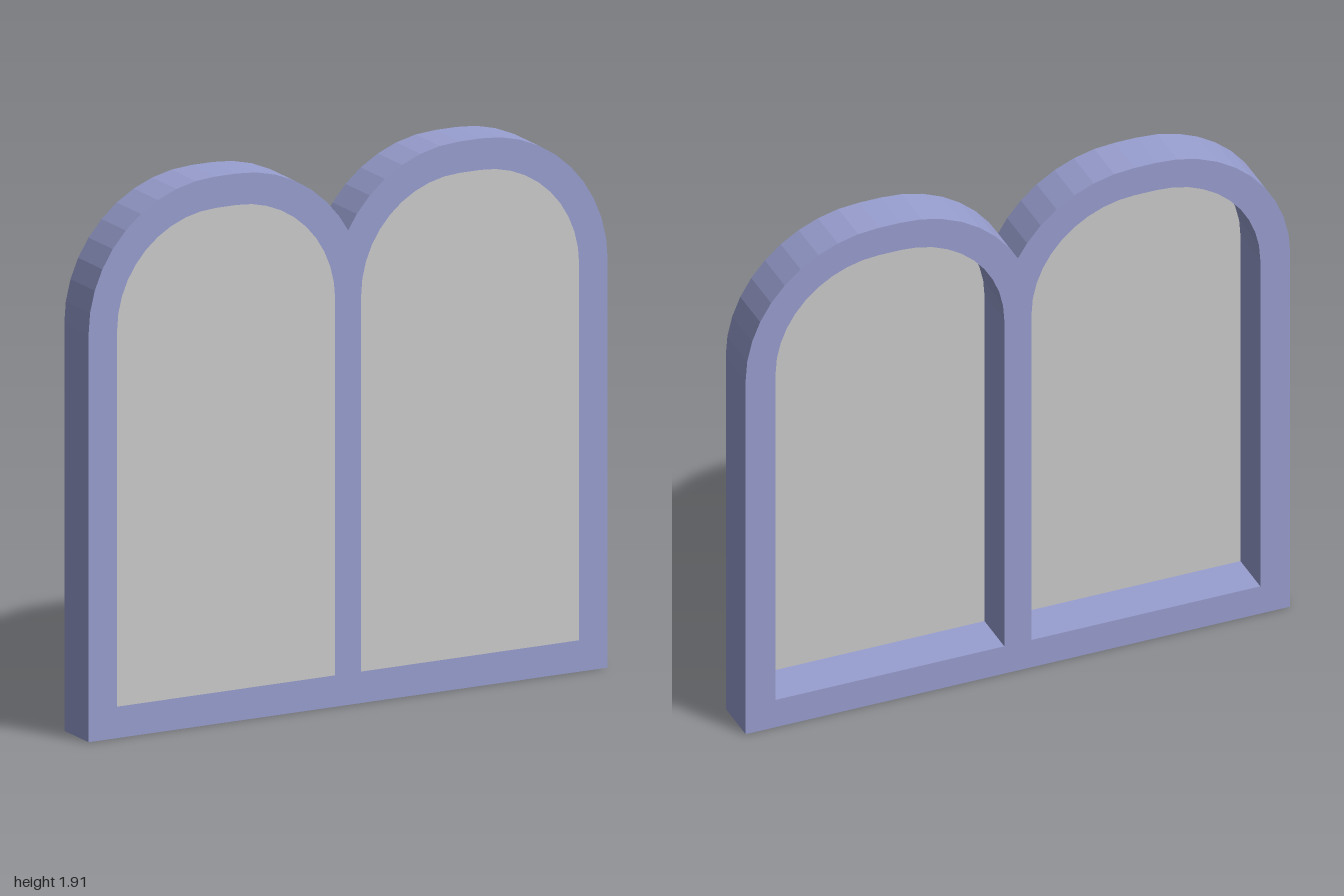
import * as THREE from 'three';

const DEPTH = 0.17;       // frame thickness
const CENTRE = 0.47;      // distance of each arch's middle from x = 0
const FLAT = 0.04;        // half length of the flat crown
const SPRING = 1.424;     // height at which the arches begin
const OUTER = 0.49, INNER = 0.38;
const STEPS = 10;         // segments per quarter arc

// Points over the top of one arch, from its right spring to its left one
function archPoints(cx, radius) {
  const pts = [];
  for (const side of [1, -1]) {
    for (let i = 0; i <= STEPS; i++) {
      const a = (i / STEPS + (side < 0 ? 1 : 0)) * Math.PI / 2;
      pts.push(new THREE.Vector2(cx + side * FLAT + radius * Math.cos(a), SPRING + radius * Math.sin(a)));
    }
  }
  return pts;
}

// Closed outline of one window opening
function openingPoints(cx) {
  const half = FLAT + INNER;
  return [
    new THREE.Vector2(cx - half, 0.11),
    new THREE.Vector2(cx + half, 0.11),
    ...archPoints(cx, INNER),
  ];
}

export function createModel() {
  const group = new THREE.Group();
  const frameMaterial = new THREE.MeshStandardMaterial({ color: 0x999fd0, flatShading: true });
  const paneMaterial = new THREE.MeshStandardMaterial({ color: 0xcccccc, side: THREE.DoubleSide });

  // Twin-arched outline, the two arches meeting in a valley at x = 0
  const rightHalf = archPoints(CENTRE, OUTER).filter(p => p.x > 0.001);
  const dx = CENTRE - FLAT;
  const valley = new THREE.Vector2(0, SPRING + Math.sqrt(OUTER * OUTER - dx * dx));
  const leftHalf = rightHalf.map(p => new THREE.Vector2(-p.x, p.y)).reverse();
  const edge = CENTRE + FLAT + OUTER;
  const outline = new THREE.Shape([
    new THREE.Vector2(-edge, 0), new THREE.Vector2(edge, 0),
    ...rightHalf, valley, ...leftHalf,
  ]);
  for (const s of [-1, 1]) outline.holes.push(new THREE.Path(openingPoints(s * CENTRE)));

  const frameGeometry = new THREE.ExtrudeGeometry(outline, { depth: DEPTH, bevelEnabled: false });
  frameGeometry.translate(0, 0, -DEPTH / 2);
  const frame = new THREE.Mesh(frameGeometry, frameMaterial);
  frame.name = 'windowFrame';
  group.add(frame);

  // Thin panes flush with the front of the frame
  for (const s of [-1, 1]) {
    const pane = new THREE.Mesh(new THREE.ShapeGeometry(new THREE.Shape(openingPoints(s * CENTRE))), paneMaterial);
    pane.position.z = DEPTH / 2;
    pane.name = s > 0 ? 'leftPane' : 'rightPane';
    group.add(pane);
  }
  return group;
}
